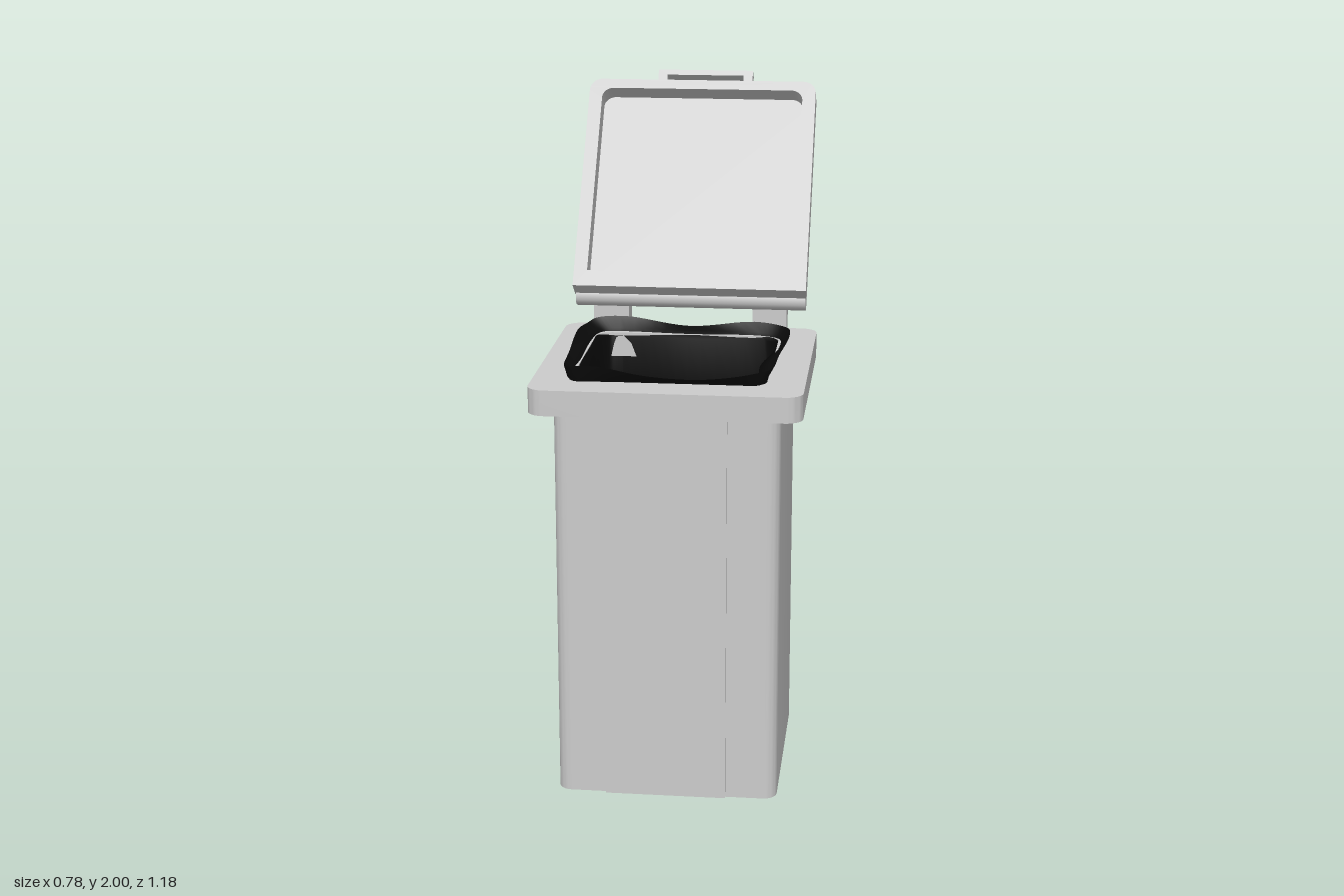
import * as THREE from 'three';
import { toCreasedNormals } from 'three/addons/utils/BufferGeometryUtils.js';

const grey = new THREE.MeshStandardMaterial({ color: 0xcccccc });
const black = new THREE.MeshStandardMaterial({ color: 0x0a0a0a, side: THREE.DoubleSide });

// Rectangle path with separate corner radii for the lower and upper corners
function roundRect(x0, y0, x1, y1, low, high = low, Type = THREE.Shape) {
  const p = new Type();
  const corner = (x, y, r, a) => {
    if (r > 0) p.absarc(x, y, r, a, a + Math.PI / 2, false);
    else p.lineTo(x, y);
  };
  p.moveTo(x0 + low, y0);
  corner(x1 - low, y0 + low, low, -Math.PI / 2);
  corner(x1 - high, y1 - high, high, 0);
  corner(x0 + high, y1 - high, high, Math.PI / 2);
  corner(x0 + low, y0 + low, low, Math.PI);
  p.closePath();
  return p;
}

function extrude(shape, depth) {
  const g = new THREE.ExtrudeGeometry(shape, { depth, bevelEnabled: false, curveSegments: 6 });
  return toCreasedNormals(g, 0.6);
}

function add(parent, name, geometry, x = 0, y = 0, z = 0, material = grey) {
  const mesh = new THREE.Mesh(geometry, material);
  mesh.name = name;
  mesh.position.set(x, y, z);
  parent.add(mesh);
  return mesh;
}

function box(parent, name, x0, x1, y0, y1, z0, z1) {
  return add(parent, name, new THREE.BoxGeometry(x1 - x0, y1 - y0, z1 - z0),
    (x0 + x1) / 2, (y0 + y1) / 2, (z0 + z1) / 2);
}

// Upright square prism, optionally hollow
function prism(half, radius, height, hole, holeRadius) {
  const s = roundRect(-half, -half, half, half, radius);
  if (hole) s.holes.push(roundRect(-hole, -hole, hole, hole, holeRadius, holeRadius, THREE.Path));
  return extrude(s, height).rotateX(-Math.PI / 2);
}

// Loose bag: a free wavy edge folded over the opening, then walls hanging inside
function bagGeometry() {
  const edge = [
    [-0.315, 1.28, -0.09], [-0.325, 1.29, 0.03], [-0.32, 1.275, 0.23], [-0.30, 1.29, 0.45],
    [-0.28, 1.3, 0.49], [-0.2, 1.305, 0.503], [-0.065, 1.285, 0.515], [0.08, 1.275, 0.506],
    [0.2, 1.285, 0.497], [0.28, 1.3, 0.483], [0.295, 1.295, 0.43], [0.3, 1.28, 0.23],
    [0.318, 1.29, 0.03], [0.297, 1.285, -0.085], [0.2, 1.29, -0.12], [0, 1.27, -0.125],
    [-0.2, 1.295, -0.13], [-0.29, 1.29, -0.12]];
  const neck = [
    [-0.256, -0.047], [-0.265, 0.05], [-0.265, 0.23], [-0.284, 0.435],
    [-0.262, 0.477], [-0.2, 0.47], [-0.107, 0.456], [0.05, 0.453],
    [0.17, 0.463], [0.247, 0.469], [0.256, 0.435], [0.244, 0.23],
    [0.272, 0.05], [0.269, -0.04], [0.234, -0.068], [0, -0.062],
    [-0.2, -0.08], [-0.24, -0.075]];
  const curve = (pts) => new THREE.CatmullRomCurve3(pts, true, 'centripetal');
  const a = curve(edge.map((p) => new THREE.Vector3(...p)));
  const b = curve(neck.map((p) => new THREE.Vector3(p[0], 1.245, p[1])));
  const n = 108;
  const pos = [], idx = [];
  const rows = 5;
  for (let r = 0; r < rows; r++) {
    for (let i = 0; i < n; i++) {
      const p = a.getPoint(i / n), q = b.getPoint(i / n);
      if (r === 1) {
        p.lerp(q, 0.4);
        p.y = 1.262;
      } else if (r > 1) {
        p.copy(q);
        const k = r === 2 ? 1 : 1.02;
        p.set(p.x * k, [1.245, 1.1, 0.04][r - 2], 0.2 + (p.z - 0.2) * k);
      }
      pos.push(p.x, p.y, p.z);
      if (r < rows - 1) {
        const j = (i + 1) % n, u = r * n, v = u + n;
        idx.push(u + i, u + j, v + i, u + j, v + j, v + i);
      }
    }
  }
  const g = new THREE.BufferGeometry();
  g.setAttribute('position', new THREE.Float32BufferAttribute(pos, 3));
  g.setIndex(idx);
  g.computeVertexNormals();
  return g;
}

export function createModel() {
  const model = new THREE.Group();
  model.name = 'bin';
  const cz = 0.2;

  // Hollow body with a floor and a raised front panel
  add(model, 'bodyWalls', prism(0.325, 0.04, 1.19, 0.31, 0.03), 0, 0, cz);
  add(model, 'bodyFloor', prism(0.312, 0.03, 0.02), 0, 0, cz);
  box(model, 'frontPanel', -0.18, 0.175, 0, 1.185, 0.515, 0.535);

  // Rim and bag
  add(model, 'rim', prism(0.39, 0.05, 0.075, 0.28, 0.05), 0, 1.18, cz);
  add(model, 'bag', bagGeometry(), 0, 0, 0, black);

  // Hinge rod and its two brackets
  const rod = new THREE.CylinderGeometry(0.032, 0.032, 0.71, 20).rotateZ(Math.PI / 2);
  add(model, 'hingeRod', rod, 0, 1.353, -0.157);
  box(model, 'hingeBracketRight', -0.305, -0.195, 1.236, 1.369, -0.232, -0.167);
  box(model, 'hingeBracketLeft', 0.19, 0.295, 1.236, 1.369, -0.232, -0.167);

  // Open lid: a shallow tray tilted back, local y runs from hinge to handle
  const lid = new THREE.Group();
  lid.name = 'lid';
  lid.position.set(0, 1.4, -0.082);
  lid.rotation.x = -0.6435;
  model.add(lid);
  const w = 0.358, length = 0.716, thick = 0.068, skin = 0.006;
  const frame = roundRect(-w, 0, w, length, 0, 0.04);
  frame.holes.push(roundRect(-0.317, 0.052, 0.317, 0.684, 0, 0.035, THREE.Path));
  add(lid, 'lidFrame', extrude(frame, thick - skin), 0, 0, skin - thick);
  add(lid, 'lidPanel', extrude(roundRect(-w, 0, w, length, 0, 0.04), skin), 0, 0, -thick);

  // Handle: bar on two short legs
  const handle = new THREE.Shape();
  [[-0.145, 0.71], [-0.116, 0.71], [-0.116, 0.744], [0.126, 0.744], [0.126, 0.71],
    [0.155, 0.71], [0.155, 0.762], [-0.145, 0.762]].forEach(([x, y], i) =>
    (i ? handle.lineTo(x, y) : handle.moveTo(x, y)));
  add(lid, 'lidHandle', extrude(handle, 0.041), 0, 0, -0.059);

  return model;
}
